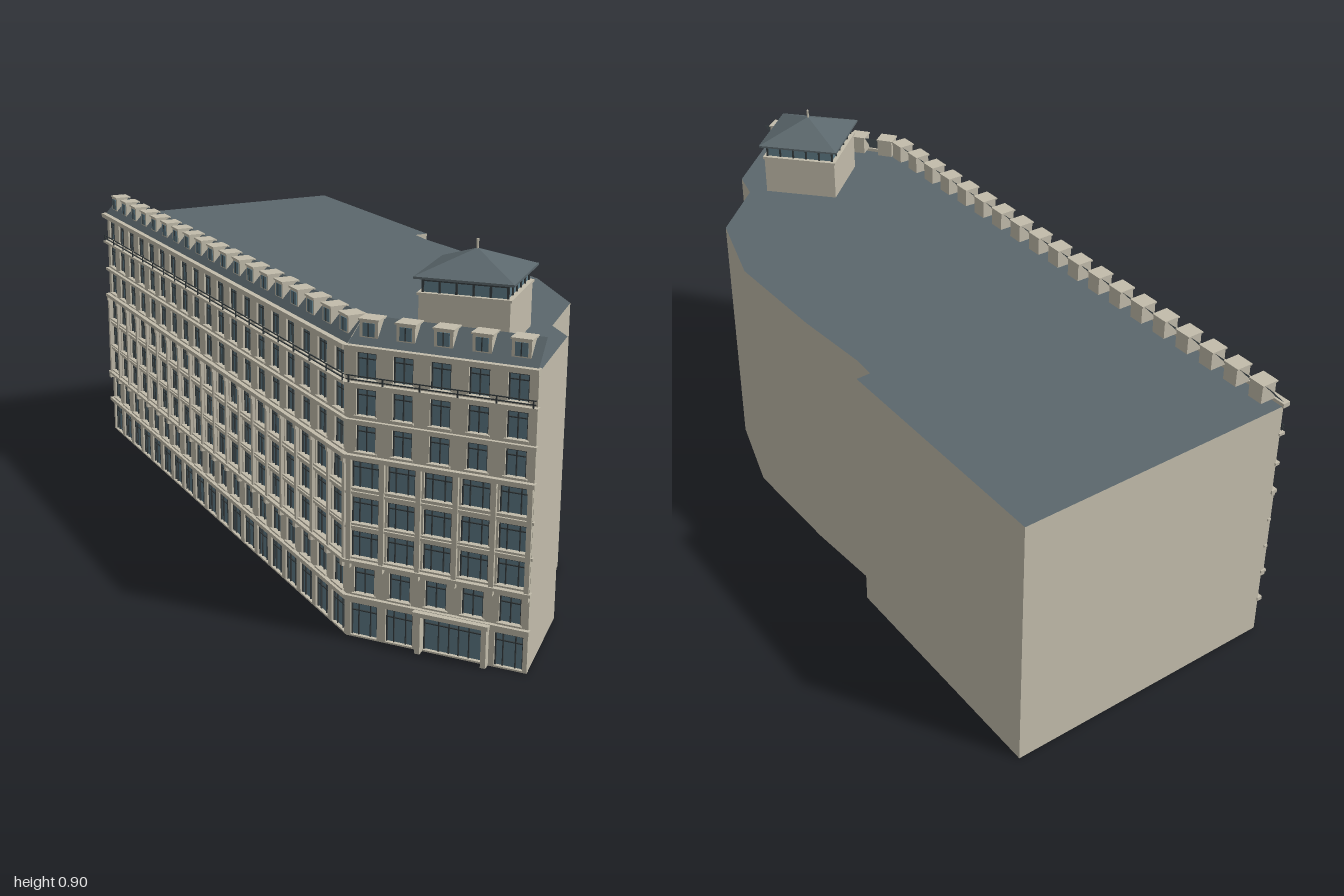
import * as THREE from 'three';
import { mergeGeometries } from 'three/addons/utils/BufferGeometryUtils.js';

const mat = (color) => new THREE.MeshStandardMaterial({ color, flatShading: true, side: THREE.DoubleSide });
const stone = mat(0xc2bcab), slate = mat(0x5b676c), glass = mat(0x5f7b86), dark = mat(0x353c3e);

const H = 0.685;
const A = [-0.585, -0.705], D = [0.03, 0.775], E = [0.405, 0.985];
// Plain party walls, from the back corner round to the front corner
const rear = [A, [0.1, -1], [0.355, -0.385], [0.32, -0.368], [0.34, -0.31], [0.44, -0.11],
  [0.565, 0.18], [0.593, 0.43], [0.507, 0.63], [0.522, 0.72], E];

// Window bottom, window top and share of the bay width for each storey
const floors = [[0.004, 0.084, 0.76], [0.11, 0.173, 0.58], [0.198, 0.26, 0.76], [0.28, 0.341, 0.76],
  [0.364, 0.426, 0.76], [0.449, 0.51, 0.54], [0.533, 0.594, 0.54], [0.616, 0.677, 0.54]];
// Height, thickness and projection of the horizontal mouldings
const cornices = [[0.099, 0.01, 0.01], [0.188, 0.007, 0.012], [0.27, 0.006, 0.005], [0.352, 0.006, 0.005],
  [0.437, 0.01, 0.012], [0.52, 0.008, 0.009], [0.606, 0.007, 0.013], [0.688, 0.012, 0.016]];

function box(w, h, d, x, y, z) {
  return new THREE.BoxGeometry(w, h, d).translate(x, y, z);
}

function add(group, name, geometries, material) {
  const mesh = new THREE.Mesh(geometries.length > 1 ? mergeGeometries(geometries) : geometries[0], material);
  mesh.name = name;
  group.add(mesh);
  return mesh;
}

// Quad strip between two rows of 3D points
function strip(low, high) {
  const p = [];
  for (let i = 0; i + 1 < low.length; i++) {
    p.push(...low[i], ...high[i + 1], ...low[i + 1], ...low[i], ...high[i], ...high[i + 1]);
  }
  const g = new THREE.BufferGeometry();
  g.setAttribute('position', new THREE.Float32BufferAttribute(p, 3));
  g.computeVertexNormals();
  return g;
}

// Street front: local x runs along the wall, z points outward
function facade(name, from, to, bays, cutStart, cutEnd, hasEntrance) {
  const g = new THREE.Group();
  g.name = name;
  const dx = to[0] - from[0], dz = to[1] - from[1], L = Math.hypot(dx, dz), bay = L / bays;
  g.position.set(from[0], 0, from[1]);
  g.rotation.y = Math.atan2(-dz, dx);

  const wall = new THREE.Shape([[0, 0], [L, 0], [L, H], [0, H]].map((p) => new THREE.Vector2(...p)));
  const panes = [], frames = [], trim = [], rails = [];

  function opening(x, y0, y1, w, mullions) {
    const h = y1 - y0, y = (y0 + y1) / 2;
    wall.holes.push(new THREE.Path([[x - w / 2, y0], [x - w / 2, y1], [x + w / 2, y1], [x + w / 2, y0]]
      .map((p) => new THREE.Vector2(...p))));
    panes.push(new THREE.PlaneGeometry(w, h).translate(x, y, -0.009));
    for (const s of [-1, 1]) frames.push(box(0.003, h, 0.004, x + s * (w / 2 - 0.0015), y, -0.007));
    for (const m of mullions) frames.push(box(0.0025, h, 0.004, x + m * w, y, -0.007));
    frames.push(box(w, 0.0025, 0.004, x, y0 + h * 0.76, -0.007));
    frames.push(box(w, 0.003, 0.004, x, y1 - 0.0015, -0.007));
  }

  for (let i = 0; i < bays; i++) {
    const x = (i + 0.5) * bay;
    floors.forEach(([y0, y1, share], f) => {
      if (hasEntrance && f === 0 && (i === 2 || i === 3)) return;
      const wide = share > 0.7;
      opening(x, y0, y1, bay * share, wide ? [-0.22, 0.22] : [0]);
      if (f > 0) trim.push(box(bay * share + 0.008, 0.004, 0.006, x, y0 - 0.002, 0.002));
    });
  }

  // Double-width entrance with a projecting surround
  if (hasEntrance) {
    const x = 3 * bay, w = bay * 1.66;
    opening(x, 0.004, 0.088, w, [-0.25, -0.08, 0.08, 0.25]);
    for (const s of [-1, 1]) trim.push(box(0.012, 0.098, 0.02, x + s * (w / 2 + 0.006), 0.049, 0.008));
    trim.push(box(w + 0.034, 0.01, 0.026, x, 0.098, 0.011));
  }

  // Pilasters on the middle storeys, with corbels at their feet
  for (let i = 0; i <= bays; i++) {
    const x = Math.min(Math.max(i * bay, 0.006), L - 0.006);
    trim.push(box(0.011, 0.245, 0.008, x, 0.312, 0.004));
    trim.push(box(0.012, 0.015, 0.012, x, 0.18, 0.006));
    trim.push(box(0.012, 0.012, 0.01, x, 0.427, 0.006));
    rails.push(box(0.003, 0.018, 0.003, x, 0.617, 0.011));
  }
  for (const [y, h, d] of cornices) trim.push(box(L + 0.008, h, d + 0.004, L / 2, y, d / 2 - 0.002));

  // Balcony railing
  for (const y of [0.617, 0.626]) rails.push(box(L, 0.0022, 0.0025, L / 2, y, 0.011));

  add(g, 'wall', [new THREE.ExtrudeGeometry(wall, { depth: 0.012, bevelEnabled: false }).translate(0, 0, -0.012)], stone);
  add(g, 'windowGlass', panes, glass);
  add(g, 'windowFrames', frames, dark);
  add(g, 'mouldings', trim, stone);
  add(g, 'railing', rails, dark);

  // Sloping attic roof with a dormer over each bay
  add(g, 'atticSlope', [strip([[0, 0.692, 0.004], [L, 0.692, 0.004]],
    [[cutStart, 0.748, -0.048], [L - cutEnd, 0.748, -0.048]])], slate);
  const cheeks = [], lights = [], bars = [];
  for (let i = 0; i < bays; i++) {
    const x = (i + 0.5) * bay, w = bay * 0.5;
    cheeks.push(box(w, 0.046, 0.042, x, 0.723, -0.032));
    cheeks.push(box(w + 0.006, 0.004, 0.046, x, 0.748, -0.031));
    lights.push(box(w * 0.66, 0.03, 0.002, x, 0.726, -0.0105));
    bars.push(box(0.0025, 0.03, 0.003, x, 0.726, -0.0095));
  }
  add(g, 'dormers', cheeks, stone);
  add(g, 'dormerGlass', lights, glass);
  add(g, 'dormerBars', bars, dark);
  return g;
}

// Square rooftop pavilion with a glazed band and a pyramid roof
function pavilion() {
  const g = new THREE.Group();
  g.name = 'roofPavilion';
  g.position.set(0.322, 0, 0.68);
  g.rotation.y = -0.424;
  add(g, 'pavilionBase', [box(0.205, 0.105, 0.205, 0, 0.737, 0), box(0.212, 0.006, 0.212, 0, 0.791, 0)], stone);
  add(g, 'pavilionGlass', [box(0.188, 0.032, 0.188, 0, 0.81, 0)], glass);
  const posts = [];
  for (let side = 0; side < 4; side++) {
    for (let i = 0; i < 6; i++) {
      posts.push(box(0.005, 0.032, 0.005, -0.095 + i * 0.038, 0.81, 0.095).rotateY(side * Math.PI / 2));
    }
  }
  posts.push(box(0.194, 0.007, 0.194, 0, 0.822, 0));
  add(g, 'pavilionPosts', posts, dark);
  const roof = new THREE.ConeGeometry(0.226 / Math.SQRT2, 0.05, 4).rotateY(Math.PI / 4).translate(0, 0.855, 0);
  add(g, 'pavilionRoof', [roof, box(0.226, 0.005, 0.226, 0, 0.828, 0)], slate);
  add(g, 'finial', [new THREE.CylinderGeometry(0.003, 0.003, 0.026, 6).translate(0, 0.888, 0)], stone);
  return g;
}

export function createModel() {
  const model = new THREE.Group();
  model.name = 'cornerBuilding';

  add(model, 'partyWalls', [strip(rear.map(([x, z]) => [x, 0, z]), rear.map(([x, z]) => [x, H, z]))], stone);

  const outline = new THREE.Shape([...rear, D].map(([x, z]) => new THREE.Vector2(x, -z)));
  add(model, 'flatRoof', [new THREE.ShapeGeometry(outline).rotateX(-Math.PI / 2).translate(0, H, 0)], slate);

  model.add(facade('longFacade', A, D, 19, 0, 0.017, false));
  model.add(facade('shortFacade', D, E, 5, 0.017, 0, true));
  model.add(pavilion());
  return model;
}
